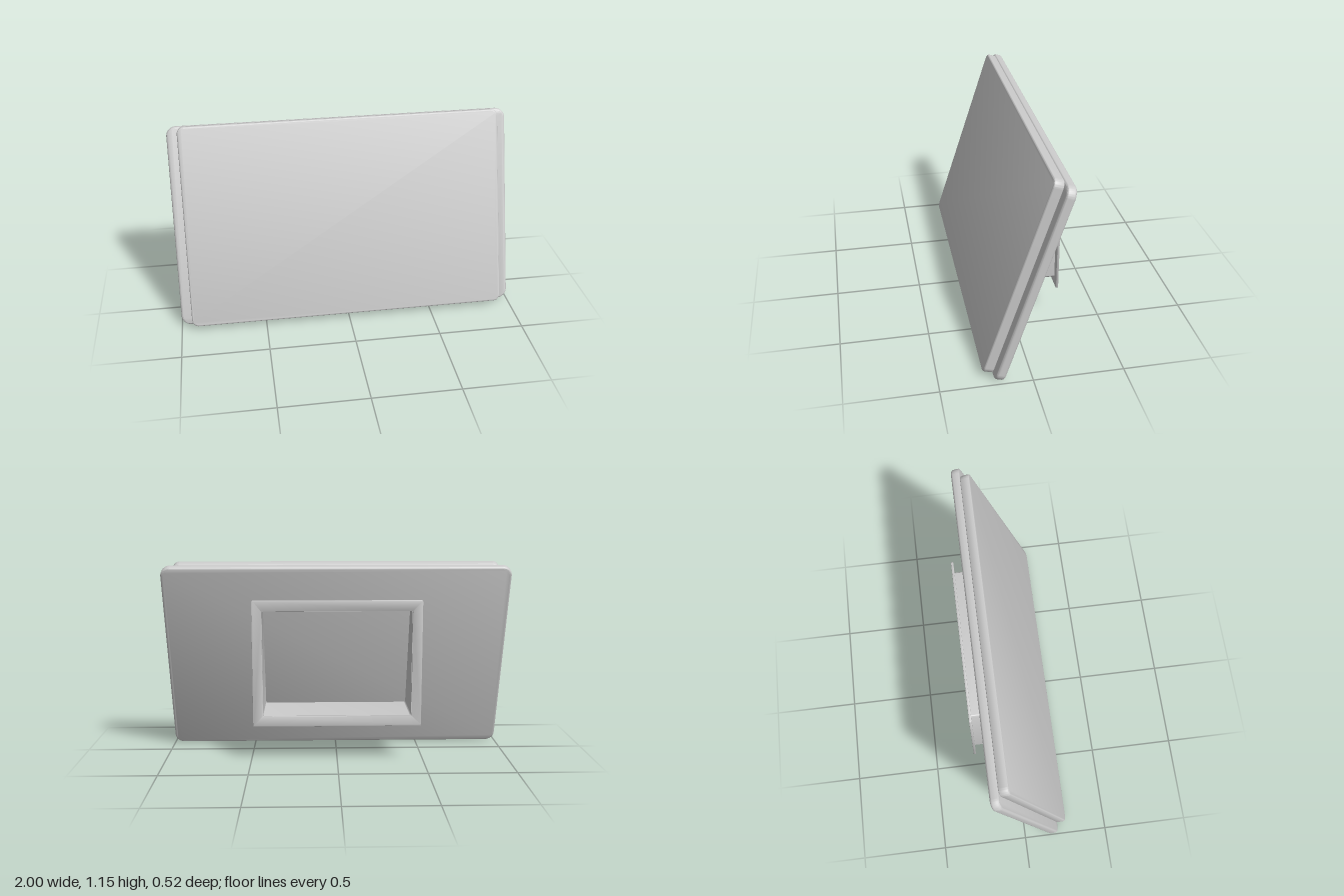
import * as THREE from 'three';
import { toCreasedNormals } from 'three/addons/utils/BufferGeometryUtils.js';

const material = new THREE.MeshStandardMaterial({ color: 0xcccccc, side: THREE.DoubleSide });
const TILT = THREE.MathUtils.degToRad(18);

// Rounded rectangle outline centred on the origin
function roundedRect(w, h, r, Type = THREE.Shape) {
  const x = w / 2, y = h / 2, q = Math.PI / 2, s = new Type();
  s.absarc(x - r, y - r, r, 0, q);
  s.absarc(-x + r, y - r, r, q, 2 * q);
  s.absarc(-x + r, -y + r, r, 2 * q, 3 * q);
  s.absarc(x - r, -y + r, r, 3 * q, 4 * q);
  s.closePath();
  return s;
}

function mesh(name, geometry) {
  const m = new THREE.Mesh(toCreasedNormals(geometry, 0.7), material);
  m.name = name;
  return m;
}

// Slab with rounded corners and softened edges, from z0 to z0 + depth
function slab(name, w, h, r, depth, bevel, z0) {
  const g = new THREE.ExtrudeGeometry(roundedRect(w - 2 * bevel, h - 2 * bevel, r - bevel), {
    depth: depth - 2 * bevel, bevelSize: bevel, bevelThickness: bevel, bevelSegments: 4, curveSegments: 8,
  });
  g.translate(0, 0, z0 + bevel);
  return mesh(name, g);
}

// Rectangular ring extruded along z
function frame(w, h, r, holeW, holeH, holeR, depth, bevel) {
  const s = roundedRect(w - 2 * bevel, h - 2 * bevel, r);
  s.holes.push(roundedRect(holeW + 2 * bevel, holeH + 2 * bevel, holeR, THREE.Path));
  return new THREE.ExtrudeGeometry(s, {
    depth: depth - 2 * bevel, bevelEnabled: bevel > 0, bevelSize: bevel,
    bevelThickness: bevel, bevelSegments: 2, curveSegments: 5,
  });
}

export function createModel() {
  const model = new THREE.Group();

  // Leaning panel: narrower front slab on a wider back slab
  const panel = new THREE.Group();
  panel.name = 'panel';
  panel.add(slab('frontSlab', 1.875, 1.178, 0.04, 0.056, 0.01, -0.002));
  panel.add(slab('backSlab', 2, 1.178, 0.055, 0.052, 0.014, -0.054));
  panel.rotation.x = -TILT;
  panel.position.set(0, 0.576, 0.03);
  model.add(panel);

  // Hollow mount: its front end is cut to follow the leaning panel
  const mount = frame(0.88, 0.634, 0.012, 0.852, 0.606, 0.008, 1, 0);
  const p = mount.attributes.position;
  for (let i = 0; i < p.count; i++) {
    const y = p.getY(i) + 0.576;
    const panelZ = 0.162 - y * Math.tan(TILT);
    p.setXYZ(i, p.getX(i), y, p.getZ(i) > 0.5 ? panelZ : -0.25);
  }
  model.add(mesh('mountTube', mount));

  // Thin flange around the open back of the mount
  const flange = frame(0.97, 0.73, 0.006, 0.856, 0.61, 0.008, 0.014, 0.003);
  flange.translate(0, 0.576, -0.256);
  model.add(mesh('mountFlange', flange));

  return model;
}
